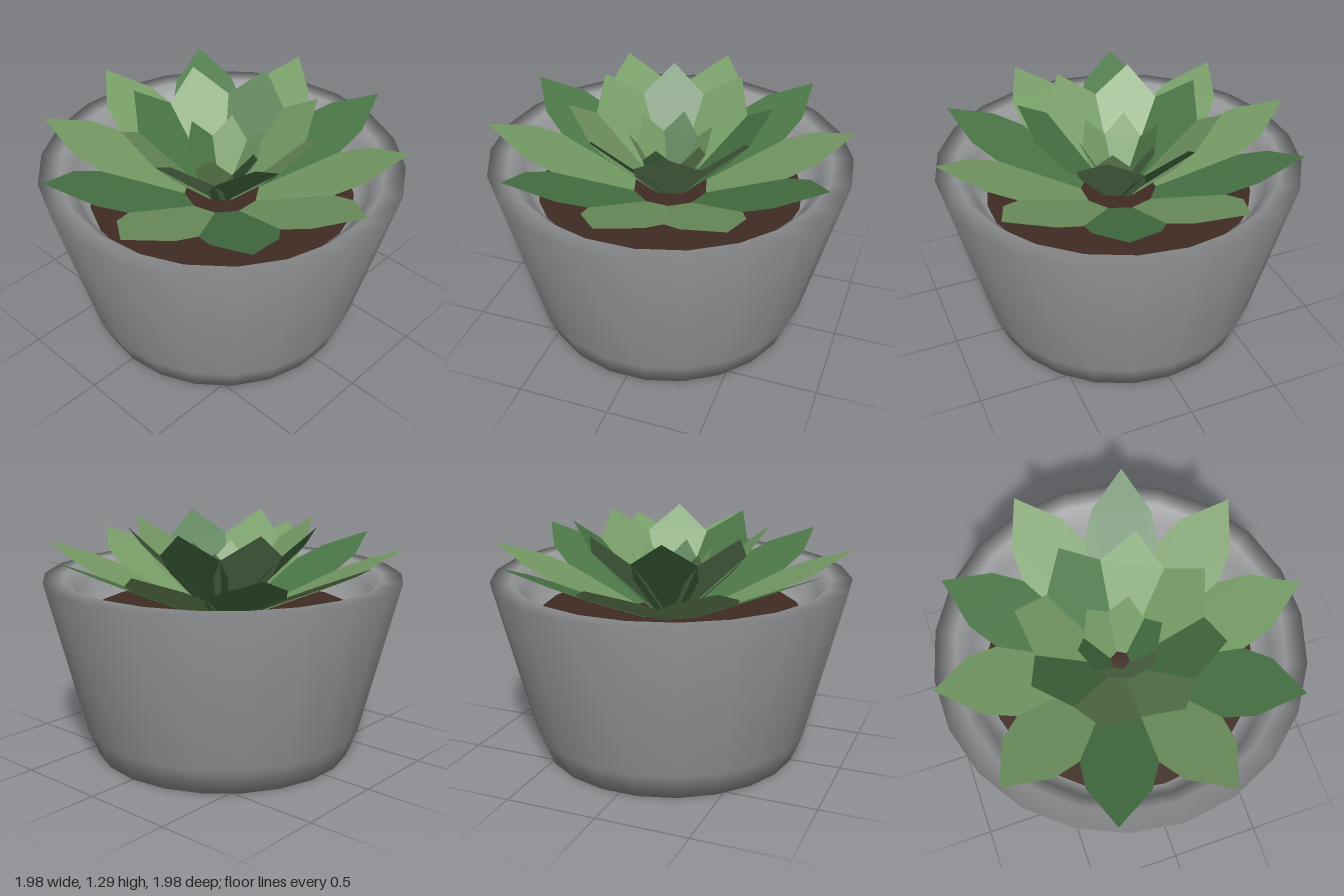
import * as THREE from 'three';

const mat = (name, color) => {
  const m = new THREE.MeshStandardMaterial({ color, side: THREE.DoubleSide });
  m.name = name;
  return m;
};

// Flat pointed leaf lying in a tilted plane; profile rows are [fraction of length, half width]
function leafGeometry(reach, rise, profile) {
  const length = Math.hypot(reach, rise);
  const shape = new THREE.Shape();
  profile.forEach(([t, w], i) => (i ? shape.lineTo(t * length, w) : shape.moveTo(t * length, w)));
  shape.lineTo(length, 0);
  [...profile].reverse().forEach(([t, w]) => shape.lineTo(t * length, -w));
  shape.closePath();
  const g = new THREE.ShapeGeometry(shape);
  g.rotateX(-Math.PI / 2);
  g.rotateZ(Math.atan2(rise, reach));
  return g;
}

export function createModel() {
  const model = new THREE.Group();
  const stone = mat('potGrey', 0x97989a);
  const earth = mat('soilBrown', 0x402b22);
  const light = mat('lightGreen', 0x769c66);
  const deep = mat('deepGreen', 0x4b7747);

  // Tapered pot with a rim and a shallow inner bowl
  const profile = [
    [0, 0], [0.72, 0], [0.78, 0.15], [0.99, 1], [0.88, 1], [0.81, 0.93], [0.72, 0.78], [0, 0.78],
  ].map(([r, y]) => new THREE.Vector2(r, y));
  const potGeo = new THREE.LatheGeometry(profile, 22);
  potGeo.rotateY(Math.PI / 2);
  const pot = new THREE.Mesh(potGeo, stone);
  pot.name = 'pot';
  model.add(pot);

  // Soil disc
  const soilGeo = new THREE.CircleGeometry(0.73, 22);
  soilGeo.rotateX(-Math.PI / 2);
  const soil = new THREE.Mesh(soilGeo, earth);
  soil.name = 'soil';
  soil.position.y = 0.8;
  model.add(soil);

  // Three rosette rings growing from one point; colours go L (light) or D (deep) per leaf
  const rings = [
    { name: 'outerLeaf', reach: 0.99, rise: 0.45, start: -88.4, colours: 'LDLDLLDLDL',
      profile: [[0, 0.03], [0.6, 0.21], [0.79, 0.165]] },
    { name: 'middleLeaf', reach: 0.54, rise: 0.58, start: -107, colours: 'DLDLLDLL',
      profile: [[0, 0.03], [0.58, 0.17], [0.77, 0.17]] },
    { name: 'innerLeaf', reach: 0.23, rise: 0.44, start: -90, colours: 'DLLDLL',
      profile: [[0, 0.02], [0.55, 0.1], [0.74, 0.1]] },
  ];
  for (const ring of rings) {
    const geo = leafGeometry(ring.reach, ring.rise, ring.profile);
    const group = new THREE.Group();
    group.name = ring.name + 'Ring';
    group.position.y = 0.71;
    [...ring.colours].forEach((c, i) => {
      const leaf = new THREE.Mesh(geo, c === 'L' ? light : deep);
      leaf.name = ring.name;
      const angle = ring.start + (i * 360) / ring.colours.length;
      leaf.rotation.y = -THREE.MathUtils.degToRad(angle);
      group.add(leaf);
    });
    model.add(group);
  }
  return model;
}
